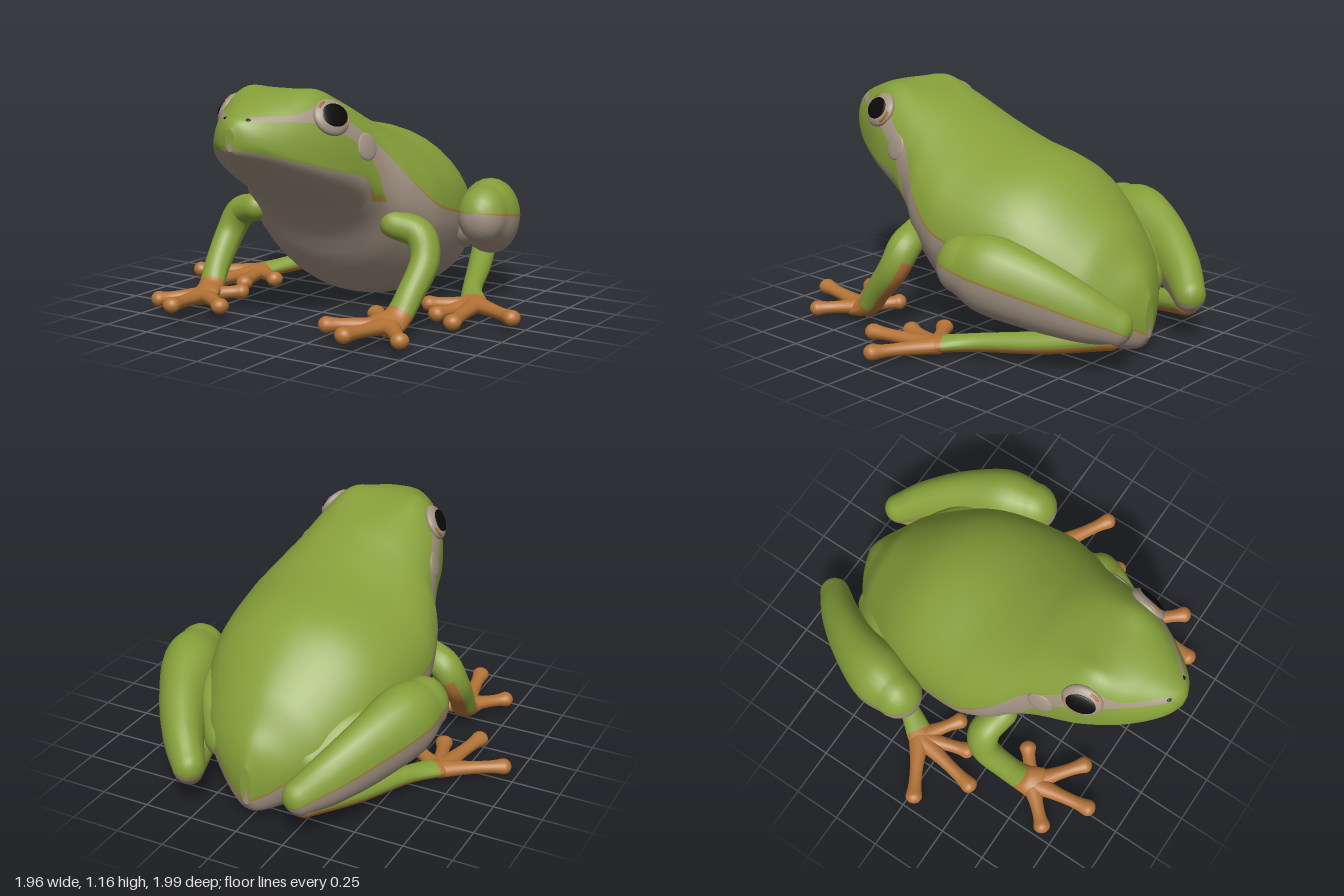
import * as THREE from 'three';
import { mergeVertices } from 'three/addons/utils/BufferGeometryUtils.js';

const paint = (name, color) => {
  const m = new THREE.MeshStandardMaterial({ color });
  m.name = name;
  return m;
};
const GREEN = 0, BEIGE = 1, ORANGE = 2, TRIM = 3, BLACK = 4;
const mats = [
  paint('leaf green', 0x86a03a), paint('belly beige', 0xa39383), paint('toe orange', 0xb37336),
  paint('ochre edge', 0xa3823c), paint('pupil black', 0x0a0a0a),
];
const V = (x, y, z) => new THREE.Vector3(x, y, z);
const { lerp, clamp, smoothstep } = THREE.MathUtils;

// Smooth interpolation of table rows keyed by their first entry (ascending)
function sample(rows, k) {
  const n = rows.length;
  let i = 0;
  while (i < n - 2 && k > rows[i + 1][0]) i++;
  const p = rows[i], q = rows[i + 1], h = q[0] - p[0];
  const t = clamp((k - p[0]) / h, 0, 1);
  const a = rows[Math.max(i - 1, 0)], b = rows[Math.min(i + 2, n - 1)];
  return p.map((v, c) => {
    const m0 = (q[c] - a[c]) / (q[0] - a[0]) * h, m1 = (b[c] - v) / (b[0] - p[0]) * h;
    const t2 = t * t, t3 = t2 * t;
    return (2 * t3 - 3 * t2 + 1) * v + (t3 - 2 * t2 + t) * m0 + (3 * t2 - 2 * t3) * q[c] + (t3 - t2) * m1;
  });
}

// Skin over closed rings of points; matAt(row, column) picks the colour of each cell
function skin(name, rings, matAt) {
  const cols = rings[0].length, buckets = mats.map(() => []);
  for (let i = 0; i < rings.length - 1; i++) for (let j = 0; j < cols; j++) {
    const a = i * cols + j, c = i * cols + (j + 1) % cols;
    buckets[matAt(i, j)].push(a, a + cols, c, c, a + cols, c + cols);
  }
  let g = new THREE.BufferGeometry().setFromPoints(rings.flat());
  g.setIndex(buckets.flat());
  g = mergeVertices(g, 1e-4);
  let start = 0;
  buckets.forEach((b, m) => {
    if (b.length) g.addGroup(start, b.length, m);
    start += b.length;
  });
  g.computeVertexNormals();
  const mesh = new THREE.Mesh(g, mats);
  mesh.name = name;
  return mesh;
}

// Body sections: z, top, bottom, widest height, half width
const BODY = [
  [-0.9, 0.3, 0.1, 0.2, 0.03],
  [-0.86, 0.4, 0.045, 0.24, 0.12],
  [-0.8, 0.48, 0.025, 0.28, 0.21],
  [-0.7, 0.62, 0.015, 0.35, 0.32],
  [-0.4, 0.86, 0.01, 0.47, 0.48],
  [0, 0.96, 0.07, 0.56, 0.54],
  [0.2, 1.04, 0.25, 0.63, 0.49],
  [0.3, 1.09, 0.42, 0.69, 0.43],
  [0.42, 1.13, 0.54, 0.75, 0.385],
  [0.6, 1.165, 0.655, 0.81, 0.335],
  [0.75, 1.145, 0.745, 0.86, 0.265],
  [0.85, 1.11, 0.81, 0.9, 0.2],
  [0.93, 1.075, 0.86, 0.94, 0.13],
  [0.97, 1.05, 0.89, 0.955, 0.075],
  [0.99, 1.015, 0.912, 0.965, 0.025],
];
// Colour edges: z, stripe top, cheek top, mouth line
const EDGES = [
  [-0.9, 0.125, 0.115, 0.115],
  [-0.8, 0.26, 0.2, 0.2],
  [-0.65, 0.41, 0.3, 0.3],
  [0, 0.565, 0.45, 0.45],
  [0.2, 0.72, 0.55, 0.55],
  [0.31, 0.865, 0.62, 0.62],
  [0.37, 0.93, 0.765, 0.625],
  [0.42, 0.96, 0.86, 0.735],
  [0.6, 1.09, 0.99, 0.795],
  [0.75, 1.065, 1.03, 0.845],
  [0.92, 1.065, 1.045, 0.9],
  [0.955, 1.045, 1.045, 0.912],
  [0.99, 0.99, 0.99, 0.925],
];

// Body section, squarer above at the head and more ridged at the rump
function section(z) {
  const [, top, bot, mid, w] = sample(BODY, z);
  const n = 1.95 + 0.85 * Math.exp(-(((z - 0.58) / 0.25) ** 2)) - 0.25 * smoothstep(-z, 0.3, 0.75);
  return { z, top, bot, mid, w, n };
}
// Angle on a section for a given height, and the point at an angle
function angleAt({ top, bot, mid, n }, y) {
  const up = y > mid, f = Math.min(Math.abs(y - mid) / (up ? top - mid : mid - bot), 0.999);
  return up ? Math.asin(f ** (n / 2)) : -Math.asin(f);
}
function pointAt({ z, top, bot, mid, w, n }, t, side) {
  const e = t > 0 ? 2 / n : 1, f = Math.abs(Math.sin(t)) ** e;
  const x = w * Math.max(Math.cos(t), 0) ** e;
  const brow = t > 0 ? 0.025 * Math.exp(-(((x - 0.19) / 0.07) ** 2) - ((z - 0.58) / 0.14) ** 2) : 0;
  return V(side * x, (t > 0 ? mid + (top - mid) * f : mid - (mid - bot) * f) + brow, z);
}
function onBody(side, z, y) {
  const r = section(z);
  return pointAt(r, angleAt(r, y), side);
}

function makeBody() {
  const spans = [[9, GREEN], [1, TRIM], [4, BEIGE], [6, GREEN], [1, TRIM], [11, BEIGE]];
  const colours = spans.flatMap(([n, m]) => Array(n).fill(m)), N = colours.length;
  const rings = [];
  for (let i = 0; i <= 90; i++) {
    const z = 0.045 - 0.945 * Math.cos(Math.PI * i / 90), r = section(z);
    const [, stripe, cheek, C] = sample(EDGES, z);
    const B = Math.max(cheek, C), A = Math.max(stripe, B);
    const T = Math.max(A - 0.014 * (1 - smoothstep(z, 0.1, 0.25)), B);
    const D = Math.min(C + 0.035 * (1 - smoothstep(z, 0.36, 0.4)), B);
    const stops = [Math.PI / 2, ...[A, T, B, D, C].map(y => angleAt(r, y)), -Math.PI / 2];
    const ts = [stops[0]];
    spans.forEach(([n], s) => {
      for (let k = 1; k <= n; k++) ts.push(lerp(stops[s], stops[s + 1], k / n));
    });
    rings.push(Array.from({ length: 2 * N }, (_, j) => pointAt(r, ts[j <= N ? j : 2 * N - j], j <= N ? 1 : -1)));
  }
  const cap = ring => ring.map(() => V(0, (ring[0].y + ring[N].y) / 2, ring[0].z));
  rings.unshift(cap(rings[0]));
  rings.push(cap(rings[rings.length - 1]));
  return skin('body', rings, (i, j) => colours[j < N ? j : 2 * N - 1 - j]);
}

// Round-ended limb; rows are x, y, z, half width, half height; colour(key, sine of angle)
const ANGLES = Array.from({ length: 24 }, (_, i) => i * Math.PI / 12);
ANGLES.push(0.07, Math.PI - 0.07);
ANGLES.sort((a, b) => a - b);
function limb(name, side, pts, colour, ref = V(0, 1, 0), steps = 8) {
  const rows = pts.map(([x, y, z, w, h], i) => [i, side * x, y, z, w, h]), last = rows.length - 1;
  const rings = [], keys = [];
  const at = k => V(...sample(rows, k).slice(1, 4));
  const add = (k, capAngle, dir) => {
    const [, x, y, z, w, h] = sample(rows, k);
    const T = at(Math.min(k + 0.02, last)).sub(at(Math.max(k - 0.02, 0))).normalize();
    const S = T.clone().cross(ref).normalize(), U = S.clone().cross(T);
    const c = V(x, y, z).addScaledVector(T, dir * Math.min(w, h) * Math.sin(capAngle));
    const q = Math.cos(capAngle);
    rings.push(ANGLES.map(a => c.clone().addScaledVector(S, w * q * Math.cos(a)).addScaledVector(U, h * q * Math.sin(a))));
    keys.push(k);
  };
  for (let i = 6; i > 0; i--) add(0, i * Math.PI / 12, -1);
  for (let i = 0; i <= last * steps; i++) add(i / steps, 0, 0);
  for (let i = 1; i <= 6; i++) add(last, i * Math.PI / 12, 1);
  return skin(name, rings, (i, j) => {
    const next = j + 1 < ANGLES.length ? ANGLES[j + 1] : 2 * Math.PI;
    return colour((keys[i] + keys[i + 1]) / 2, Math.sin((ANGLES[j] + next) / 2));
  });
}

// Toe with a rounded pad at its tip
function toe(name, side, a, b) {
  const row = (t, w, h) => [0, 1, 2].map(c => a[c] + (b[c] - a[c]) * t).concat(w, h);
  return limb(name, side, [row(0, 0.058, 0.042), row(0.45, 0.037, 0.033), row(0.78, 0.034, 0.031), row(1, 0.044, 0.039)], () => ORANGE, undefined, 4);
}

function blob(name, mat, sx, sy, sz, z = 0) {
  const m = new THREE.Mesh(new THREE.SphereGeometry(1, 32, 20), mats[mat]);
  m.name = name;
  m.scale.set(sx, sy, sz);
  m.position.z = z;
  return m;
}
function eyeArc(start, length) {
  const m = new THREE.Mesh(new THREE.TorusGeometry(0.086, 0.008, 6, 16, length), mats[ORANGE]);
  m.name = 'eyeCorner';
  m.scale.y = 0.88;
  m.geometry.rotateZ(start);
  m.position.z = 0.015;
  return m;
}
// Group set on the body surface, facing outwards
function onSkin(name, side, z, y, sink, ...parts) {
  const p = onBody(side, z, y), d = 0.02;
  const n = onBody(side, z, y + d).sub(onBody(side, z, y - d))
    .cross(onBody(side, z + d, y).sub(onBody(side, z - d, y))).multiplyScalar(side).normalize();
  const g = new THREE.Group();
  g.name = name;
  g.position.copy(p).addScaledVector(n, -sink);
  g.lookAt(g.position.clone().add(n));
  return g.add(...parts);
}

export function createModel() {
  const model = new THREE.Group();
  model.name = 'frog';
  model.add(makeBody());
  for (const s of [1, -1]) {
    const tag = s > 0 ? 'left' : 'right';
    // Eye, ear and nostril
    model.add(
      onSkin(tag + 'Eye', s, 0.6, 1.045, 0.006, blob('eyeball', BEIGE, 0.102, 0.09, 0.036), blob('pupil', BLACK, 0.074, 0.057, 0.01, 0.03),
        eyeArc(s > 0 ? -0.9 : Math.PI, 0.9), eyeArc(s > 0 ? 1.9 : 0.6, 0.6)),
      onSkin(tag + 'Ear', s, 0.42, 0.895, 0.004, blob('eardrum', BEIGE, 0.066, 0.066, 0.014)),
      onSkin(tag + 'Nostril', s, 0.935, 1.055, 0, blob('nostrilHole', BLACK, 0.011, 0.008, 0.005)),
    );
    // Folded hind leg with the thigh tucked inside
    model.add(limb(tag + 'HindLeg', s, [
      [0.62, 0.485, -0.265, 0.125, 0.145], [0.585, 0.455, -0.41, 0.153, 0.19], [0.505, 0.385, -0.62, 0.125, 0.172],
      [0.4, 0.305, -0.8, 0.1, 0.135], [0.3, 0.24, -0.92, 0.08, 0.092],
    ], (k, h) => (h > 0.07 ? GREEN : h > 0 ? TRIM : BEIGE)));
    model.add(limb(tag + 'Thigh', s, [
      [0.24, 0.29, -0.68, 0.1, 0.11], [0.36, 0.38, -0.52, 0.12, 0.14], [0.48, 0.43, -0.32, 0.1, 0.12],
    ], (k, h) => (h > 0 ? GREEN : BEIGE)));
    model.add(limb(tag + 'HindFoot', s, [
      [0.31, 0.19, -0.9, 0.065, 0.06], [0.43, 0.125, -0.6, 0.06, 0.055], [0.55, 0.085, -0.3, 0.05, 0.045], [0.65, 0.065, -0.13, 0.07, 0.038],
    ], (k, h) => (k > 2.85 || h < -0.35 ? ORANGE : GREEN)));
    [[0.94, 0.065, 0.03], [0.73, 0.06, 0.235], [0.58, 0.055, 0.12], [0.47, 0.065, 0]]
      .forEach((tip, i) => model.add(toe(tag + 'HindToe' + (i + 1), s, [0.66, 0.06, -0.13], tip)));
    // Front arm and hand
    model.add(limb(tag + 'Arm', s, [
      [0.41, 0.5, 0.24, 0.07, 0.07], [0.53, 0.455, 0.205, 0.075, 0.083], [0.58, 0.34, 0.24, 0.07, 0.078],
      [0.57, 0.2, 0.36, 0.065, 0.065], [0.55, 0.105, 0.44, 0.07, 0.055], [0.53, 0.078, 0.53, 0.09, 0.043],
    ], (k, h) => (k > 3.7 || (h < -0.7 && k > 1.5) ? ORANGE : GREEN), V(0, 0.45, 0.9)));
    [[0.7, 0.07, 0.67], [0.495, 0.1, 0.82], [0.31, 0.09, 0.68], [0.4, 0.09, 0.385]]
      .forEach((tip, i) => model.add(toe(tag + 'Finger' + (i + 1), s, [0.54, 0.08, 0.5], tip)));
  }
  return model;
}
